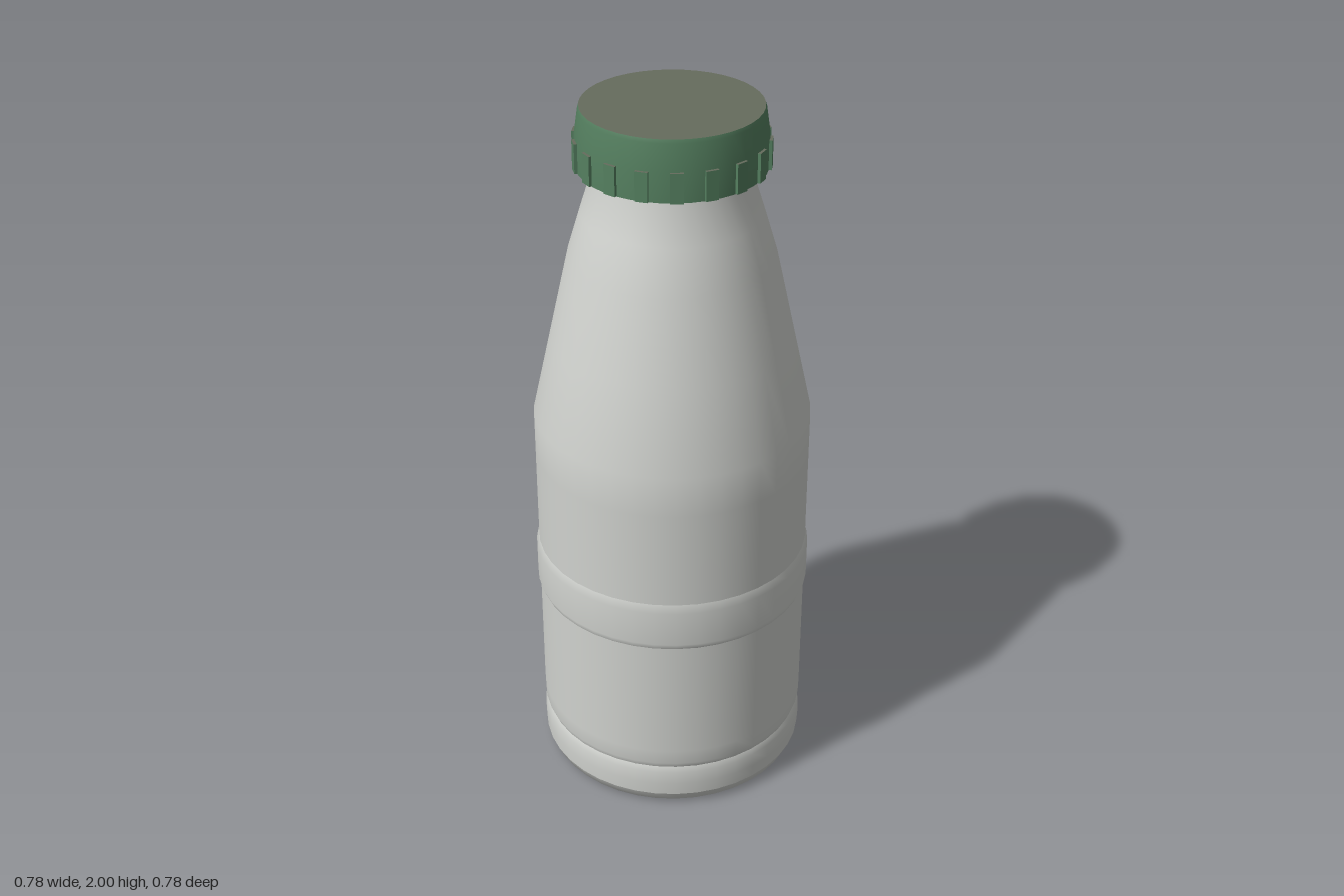
import * as THREE from 'three';

const SEGMENTS = 40;

export function createModel() {
  const model = new THREE.Group();
  model.name = 'bottle';

  const bodyMat = new THREE.MeshStandardMaterial({ color: 0xd0d2ce });
  bodyMat.name = 'pale grey glass';
  const capMat = new THREE.MeshStandardMaterial({ color: 0x558060 });
  capMat.name = 'green cap';
  const topMat = new THREE.MeshStandardMaterial({ color: 0x666c5d });
  topMat.name = 'olive grey cap top';

  // Each profile is its own lathe, so edges between profiles stay sharp
  const addLathe = (parent, name, profile, material) => {
    const points = profile.map(([r, y]) => new THREE.Vector2(r, y));
    const mesh = new THREE.Mesh(new THREE.LatheGeometry(points, SEGMENTS), material);
    mesh.name = name;
    parent.add(mesh);
  };

  // Bottle body, from the base up
  const body = new THREE.Group();
  body.name = 'body';
  model.add(body);
  addLathe(body, 'baseDisc', [[0, 0], [0.35, 0]], bodyMat);
  addLathe(body, 'baseBevel', [[0.35, 0], [0.366, 0.01], [0.38, 0.04]], bodyMat);
  addLathe(body, 'footRing', [[0.38, 0.04], [0.382, 0.08], [0.38, 0.12], [0.373, 0.137]], bodyMat);
  addLathe(body, 'lowerWall', [[0.373, 0.137], [0.38, 0.155], [0.381, 0.2], [0.381, 0.567]], bodyMat);
  addLathe(body, 'raisedBand', [[0.381, 0.567], [0.388, 0.585], [0.388, 0.69], [0.381, 0.715]], bodyMat);
  addLathe(body, 'upperWall', [
    [0.381, 0.715], [0.381, 1.0], [0.381, 1.12], [0.33, 1.35], [0.277, 1.59],
    [0.241, 1.71], [0.2, 1.84], [0.2, 1.95],
  ], bodyMat);

  // Screw cap: hollow skirt with a flat lid
  const cap = new THREE.Group();
  cap.name = 'cap';
  model.add(cap);
  addLathe(cap, 'capInside', [[0, 1.95], [0.228, 1.95], [0.235, 1.838]], capMat);
  addLathe(cap, 'capRim', [[0.235, 1.838], [0.25, 1.838]], capMat);
  addLathe(cap, 'capSkirt', [[0.25, 1.838], [0.25, 1.92], [0.24, 1.99], [0.237, 2]], capMat);
  addLathe(cap, 'capTop', [[0.237, 2], [0, 2]], topMat);

  // Grip ribs around the skirt
  const ribGeometry = new THREE.BoxGeometry(0.02, 0.08, 0.034);
  const ribMats = [capMat, capMat, topMat, capMat, capMat, capMat];
  const ribCount = 18;
  for (let i = 0; i < ribCount; i++) {
    const angle = (i / ribCount) * Math.PI * 2;
    const rib = new THREE.Mesh(ribGeometry, ribMats);
    rib.name = 'gripRib';
    rib.position.set(0.247 * Math.cos(angle), 1.879, -0.247 * Math.sin(angle));
    rib.rotation.y = angle;
    cap.add(rib);
  }

  return model;
}
